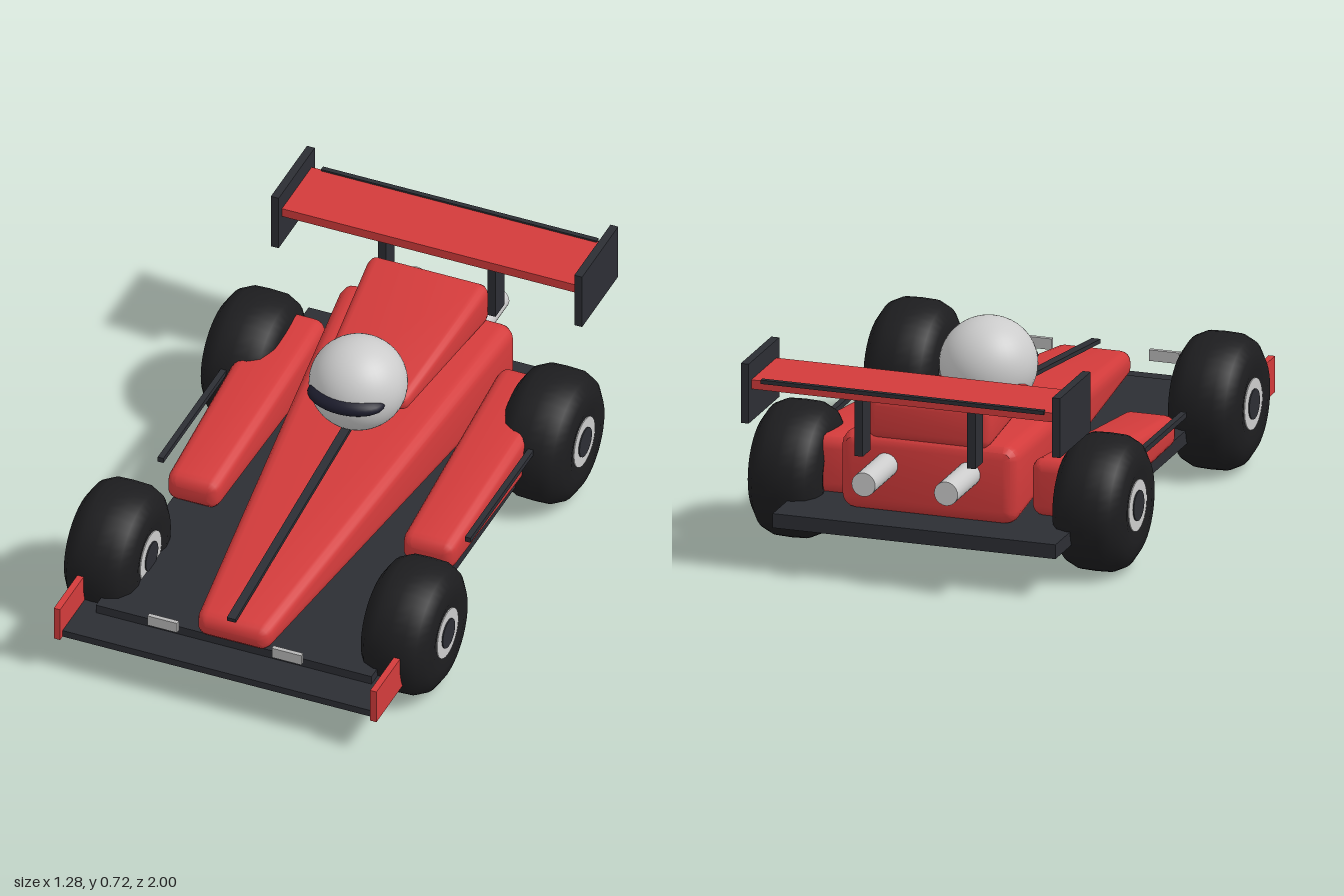
import * as THREE from 'three';
import { toCreasedNormals } from 'three/addons/utils/BufferGeometryUtils.js';

const material = (color) => new THREE.MeshStandardMaterial({ color });
const RED = material(0xd33b3b);
const DARK = material(0x2c2e34);
const TYRE = material(0x1d1d1f);
const SILVER = material(0xb8b8b8);
const WHITE = material(0xe6e6e6);
const VISOR = material(0x1c1c2c);

function add(parent, name, geometry, mat, x = 0, y = 0, z = 0) {
  const mesh = new THREE.Mesh(geometry, mat);
  mesh.name = name;
  mesh.position.set(x, y, z);
  parent.add(mesh);
  return mesh;
}

// Box given by its low and high limits on each axis
function box(parent, name, mat, [x0, x1], [y0, y1], [z0, z1]) {
  return add(parent, name, new THREE.BoxGeometry(x1 - x0, y1 - y0, z1 - z0), mat,
    (x0 + x1) / 2, (y0 + y1) / 2, (z0 + z1) / 2);
}

// Rounded rectangle, counter-clockwise as seen from +z
function ring({ x0, x1, y0, y1, z }, inset, radius) {
  const r = Math.max(radius - inset, 0.004);
  const points = [];
  const corners = [[x1, y1, -1, -1], [x0, y1, 1, -1], [x0, y0, 1, 1], [x1, y0, -1, 1]];
  corners.forEach(([x, y, sx, sy], k) => {
    for (let i = 0; i <= 4; i++) {
      const a = (k + i / 4) * Math.PI / 2;
      points.push([x + sx * (inset + r) + r * Math.cos(a), y + sy * (inset + r) + r * Math.sin(a), z]);
    }
  });
  return points;
}

// Tapered body between two rectangles, with rounded edges and ends
function taperedBody(front, rear, rf, rr) {
  const rings = [];
  const section = (end, dz, inset, r) => {
    const t = (front.z - end.z - dz) / (front.z - rear.z);
    const s = {};
    for (const key of Object.keys(front)) s[key] = THREE.MathUtils.lerp(front[key], rear[key], t);
    rings.push(ring(s, inset, r));
  };
  const steps = [0, 1, 2, 3].map((i) => i * Math.PI / 6);
  for (const a of steps) section(front, -rf * (1 - Math.cos(a)), rf * (1 - Math.sin(a)), rf);
  for (const a of steps.slice().reverse()) section(rear, rr * (1 - Math.cos(a)), rr * (1 - Math.sin(a)), rr);

  const n = rings[0].length;
  const positions = rings.flat(2);
  const index = [];
  for (let i = 0; i < rings.length - 1; i++) {
    for (let j = 0; j < n; j++) {
      const a = i * n + j, b = i * n + (j + 1) % n;
      index.push(a, a + n, b, b, a + n, b + n);
    }
  }
  const last = (rings.length - 1) * n;
  for (let j = 1; j < n - 1; j++) {
    index.push(0, j, j + 1);
    index.push(last, last + j + 1, last + j);
  }
  const g = new THREE.BufferGeometry();
  g.setAttribute('position', new THREE.Float32BufferAttribute(positions, 3));
  g.setIndex(index);
  return toCreasedNormals(g, 0.6);
}

function makeWheel() {
  const wheel = new THREE.Group();
  wheel.name = 'wheel';
  // Half profile of the tyre: radius, distance from the middle
  const half = [[0.223, 0], [0.221, 0.052], [0.203, 0.09], [0.165, 0.115], [0.12, 0.122], [0.082, 0.113], [0, 0.108]];
  const profile = [
    ...half.slice(1).reverse().map(([r, h]) => new THREE.Vector2(r, -h)),
    ...half.map(([r, h]) => new THREE.Vector2(r, h)),
  ];
  add(wheel, 'tyre', new THREE.LatheGeometry(profile, 40), TYRE);
  add(wheel, 'rim', new THREE.CylinderGeometry(0.085, 0.085, 0.234, 32), WHITE);
  add(wheel, 'hubCap', new THREE.CylinderGeometry(0.05, 0.05, 0.242, 24), DARK);
  wheel.rotation.z = Math.PI / 2;
  return wheel;
}

export function createModel() {
  const car = new THREE.Group();
  car.name = 'racingCar';

  // Floor and front wing
  box(car, 'floor', DARK, [-0.48, 0.48], [0.14, 0.188], [-0.87, 0.85]);
  box(car, 'frontWing', DARK, [-0.54, 0.54], [0.134, 0.158], [0.79, 0.98]);

  // Main hull, rising and widening from nose to tail
  add(car, 'hull', taperedBody(
    { x0: -0.125, x1: 0.125, y0: 0.183, y1: 0.268, z: 0.87 },
    { x0: -0.305, x1: 0.305, y0: 0.183, y1: 0.455, z: -0.745 }, 0.035, 0.05), RED);

  // Engine cover behind the driver
  add(car, 'engineCover', taperedBody(
    { x0: -0.155, x1: 0.155, y0: 0.43, y1: 0.485, z: -0.18 },
    { x0: -0.212, x1: 0.212, y0: 0.43, y1: 0.585, z: -0.745 }, 0.025, 0.035), RED);

  // Dark strip along the nose
  const from = new THREE.Vector3(0, 0.285, 0.87), to = new THREE.Vector3(0, 0.41, -0.1);
  const strip = add(car, 'noseStrip', new THREE.BoxGeometry(0.03, 0.014, from.distanceTo(to)), DARK);
  strip.position.copy(from).lerp(to, 0.5);
  strip.lookAt(from);

  // Driver
  add(car, 'helmet', new THREE.SphereGeometry(0.159, 40, 28), WHITE, 0, 0.528, -0.157).scale.y = 0.97;
  add(car, 'visor', new THREE.SphereGeometry(1, 32, 20), VISOR, 0, 0.533, -0.06).scale.set(0.132, 0.039, 0.08);

  // Rear wing
  box(car, 'rearWing', RED, [-0.52, 0.52], [0.636, 0.667], [-0.975, -0.735]);
  box(car, 'rearWingLip', DARK, [-0.48, 0.48], [0.66, 0.673], [-0.985, -0.968]);

  for (const s of [1, -1]) {
    const span = (a, b) => (s > 0 ? [a, b] : [-b, -a]);

    // Side pods and rods
    const [fx0, fx1] = span(0.32, 0.5), [rx0, rx1] = span(0.3, 0.52);
    add(car, 'sidePod', taperedBody(
      { x0: fx0, x1: fx1, y0: 0.183, y1: 0.285, z: 0.245 },
      { x0: rx0, x1: rx1, y0: 0.183, y1: 0.382, z: -0.615 }, 0.035, 0.04), RED);
    box(car, 'sideRod', DARK, span(0.525, 0.545), [0.293, 0.311], [-0.38, 0.2]);

    // Wing end plates, struts and front plates
    box(car, 'frontEndPlate', RED, span(0.54, 0.562), [0.134, 0.255], [0.79, 1]);
    box(car, 'frontPlate', SILVER, span(0.165, 0.268), [0.223, 0.26], [0.91, 0.925]);
    box(car, 'rearEndPlate', DARK, span(0.515, 0.542), [0.527, 0.727], [-1, -0.708]);
    box(car, 'rearWingStrut', DARK, span(0.177, 0.205), [0.41, 0.64], [-0.862, -0.79]);

    // Exhaust pipes
    add(car, 'exhaustPipe', new THREE.CylinderGeometry(0.04, 0.04, 0.23, 24), WHITE,
      s * 0.14, 0.35, -0.845).rotation.x = Math.PI / 2;

    // Wheels
    for (const z of [0.59, -0.515]) {
      const wheel = makeWheel();
      wheel.position.set(s * 0.517, 0.228, z);
      car.add(wheel);
    }
  }
  return car;
}
